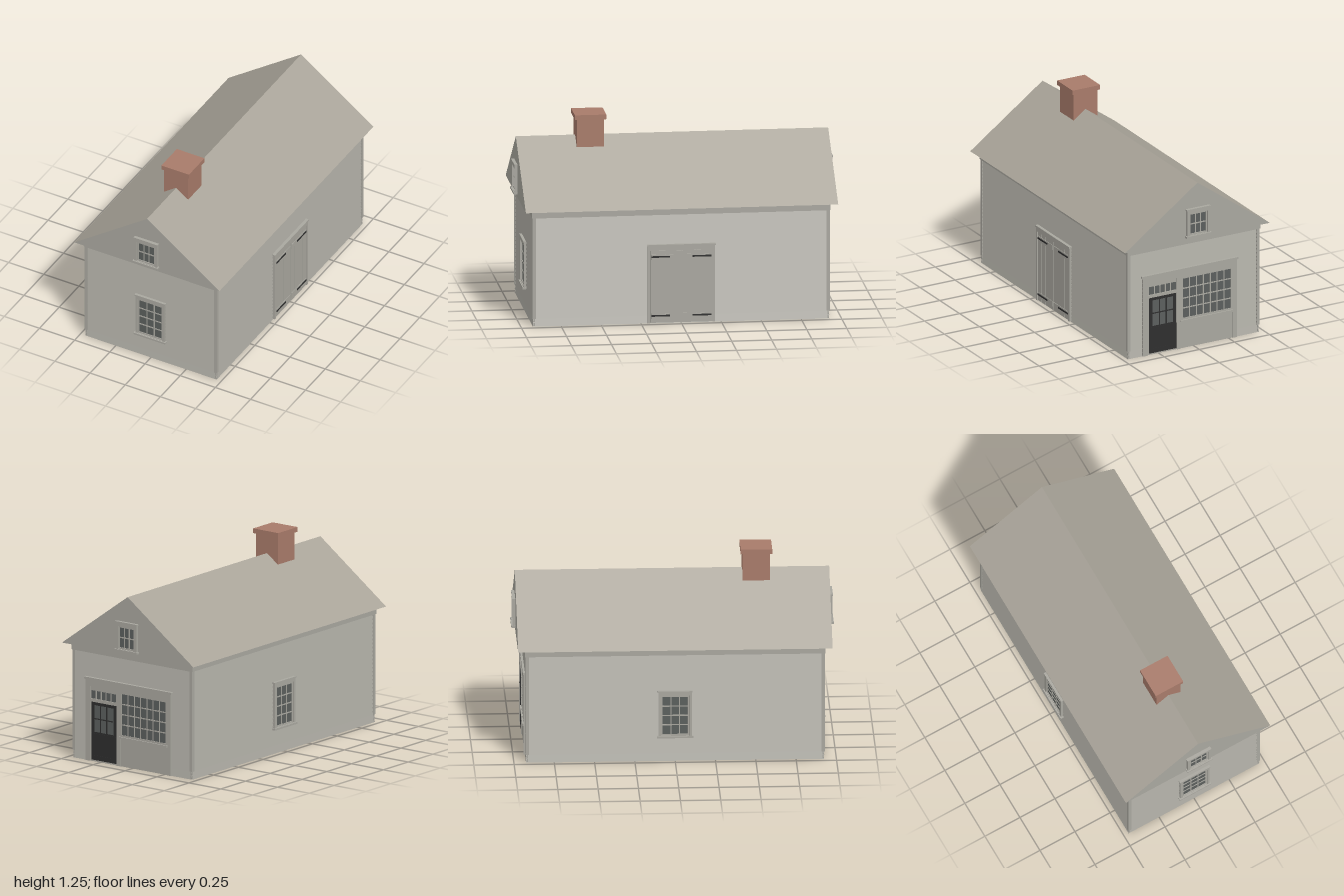
import * as THREE from 'three';

const mat = (name, color) => {
  const m = new THREE.MeshStandardMaterial({ color });
  m.name = name;
  return m;
};

export function createModel() {
  const wall = mat('grey paint', 0xa9a79f);
  const roofing = mat('warm grey roof', 0xa9a499);
  const brick = mat('brick', 0xa87b6a);
  const glass = mat('window glass', 0x5b5f5d);
  const black = mat('black paint', 0x2e2e2e);

  const model = new THREE.Group();
  model.name = 'shed';

  const group = (name, parent, angle = 0) => {
    const g = new THREE.Group();
    g.name = name;
    g.rotation.y = angle;
    parent.add(g);
    return g;
  };
  // Box given by its two extremes on each axis
  const box = (name, parent, material, x0, x1, y0, y1, z0, z1) => {
    const m = new THREE.Mesh(new THREE.BoxGeometry(x1 - x0, y1 - y0, z1 - z0), material);
    m.name = name;
    m.position.set((x0 + x1) / 2, (y0 + y1) / 2, (z0 + z1) / 2);
    parent.add(m);
    return m;
  };

  // Overlapping boards: a sawtooth profile extruded along the wall
  const siding = (name, parent, halfWidth, y0, y1, count, z, out) => {
    const s = new THREE.Shape();
    const h = (y1 - y0) / count;
    s.moveTo(-0.004, y0);
    for (let i = 0; i < count; i++) {
      s.lineTo(out, y0 + i * h);
      s.lineTo(0.001, y0 + (i + 1) * h);
    }
    s.lineTo(-0.004, y1);
    const g = new THREE.ExtrudeGeometry(s, { depth: halfWidth * 2, bevelEnabled: false });
    g.translate(0, 0, -halfWidth).rotateY(-Math.PI / 2);
    const m = new THREE.Mesh(g, wall);
    m.name = name;
    m.position.z = z;
    parent.add(m);
  };

  // Glass plate divided by thin bars
  const panes = (parent, x0, x1, y0, y1, cols, rows, z, barMaterial = wall, bar = 0.007) => {
    box('glass', parent, glass, x0, x1, y0, y1, z - 0.003, z);
    for (let i = 1; i < cols; i++) {
      const x = x0 + ((x1 - x0) * i) / cols;
      box('uprightBar', parent, barMaterial, x - bar / 2, x + bar / 2, y0, y1, z - 0.002, z + 0.003);
    }
    for (let j = 1; j < rows; j++) {
      const y = y0 + ((y1 - y0) * j) / rows;
      box('crossBar', parent, barMaterial, x0, x1, y - bar / 2, y + bar / 2, z - 0.002, z + 0.003);
    }
  };

  // Four-sided border around an opening
  const border = (name, parent, x0, x1, y0, y1, side, top, bottom, z0, z1, material = wall) => {
    box(name, parent, material, x0, x0 + side, y0, y1, z0, z1);
    box(name, parent, material, x1 - side, x1, y0, y1, z0, z1);
    box(name, parent, material, x0 + side, x1 - side, y1 - top, y1, z0, z1);
    box(name, parent, material, x0 + side, x1 - side, y0, y0 + bottom, z0, z1);
  };

  // Window with casing, sash, head cap and sill
  const windowUnit = (name, parent, hw, y0, y1, rows, z, depth) => {
    const g = group(name, parent);
    const c = 0.017, sash = 0.009;
    border('casing', g, -hw, hw, y0, y1, c, 0.026, 0.004, z - 0.006, z + depth);
    border('sash', g, -hw + c, hw - c, y0 + 0.004, y1 - 0.026, sash, sash, sash, z - 0.006, z + depth * 0.6);
    panes(g, -hw + c + sash, hw - c - sash, y0 + 0.013, y1 - 0.035, 3, rows, z + depth * 0.3);
    box('headCap', g, wall, -hw - 0.004, hw + 0.004, y1 - 0.005, y1 + 0.004, z - 0.006, z + depth + 0.003);
    box('sill', g, wall, -hw - 0.008, hw + 0.008, y0 - 0.01, y0 + 0.002, z - 0.006, z + depth + 0.008);
  };

  // Four hollow walls, open underneath; each face group has +z outwards
  const faces = {};
  const layout = [
    ['frontWall', 0, 0.47, 0.928], ['rightWall', Math.PI / 2, 0.928, 0.47],
    ['backWall', Math.PI, 0.47, 0.928], ['leftWall', -Math.PI / 2, 0.928, 0.47],
  ];
  for (const [name, angle, hw, d] of layout) {
    const g = (faces[name] = group(name, model, angle));
    box('wallCore', g, wall, -hw + 0.012, hw - 0.012, 0, 0.735, d - 0.02, d - 0.011);
    siding('clapboards', g, hw - 0.02, 0.05, 0.69, 25, d - 0.011, 0.008);
    siding('skirtBoards', g, hw - 0.004, 0, 0.05, 2, d - 0.011, 0.008);
    for (const s of [-1, 1]) {
      const a = s * hw, b = s * (hw - 0.021);
      box('cornerBoard', g, wall, Math.min(a, b), Math.max(a, b), 0.05, 0.69, d - 0.012, d);
    }
    box('frieze', g, wall, -hw - 0.003, hw + 0.003, 0.69, 0.736, d - 0.012, d + 0.003);
  }

  // Solid gabled roof
  const tri = new THREE.Shape();
  tri.moveTo(-0.515, 0.735);
  tri.lineTo(0.515, 0.735);
  tri.lineTo(0, 1.105);
  tri.closePath();
  const roofGeo = new THREE.ExtrudeGeometry(tri, { depth: 1.95, bevelEnabled: false });
  roofGeo.translate(0, 0, -0.975);
  const roof = new THREE.Mesh(roofGeo, [wall, roofing]);
  roof.name = 'roof';
  model.add(roof);

  // Chimney
  const chimney = group('chimney', model);
  box('chimneyStack', chimney, brick, -0.085, 0.085, 1.03, 1.225, 0.435, 0.605);
  box('chimneyCap', chimney, brick, -0.098, 0.098, 1.22, 1.25, 0.422, 0.618);

  // Windows
  windowUnit('frontWindow', faces.frontWall, 0.104, 0.164, 0.454, 4, 0.923, 0.015);
  windowUnit('leftWindow', faces.leftWall, 0.104, 0.164, 0.454, 4, 0.465, 0.015);
  windowUnit('frontGableWindow', faces.frontWall, 0.081, 0.765, 0.94, 2, 0.975, 0.017);
  windowUnit('backGableWindow', faces.backWall, 0.081, 0.765, 0.94, 2, 0.975, 0.017);

  // Plank double door on the right wall
  const barn = group('doubleDoor', faces.rightWall);
  box('doorBacking', barn, wall, -0.2, 0.2, 0.004, 0.48, 0.455, 0.47);
  for (const s of [-1, 1]) {
    box('doorJamb', barn, wall, Math.min(s * 0.21, s * 0.195), Math.max(s * 0.21, s * 0.195), 0.004, 0.49, 0.455, 0.479);
  }
  box('doorHead', barn, wall, -0.195, 0.195, 0.465, 0.49, 0.455, 0.479);
  box('doorCap', barn, wall, -0.214, 0.214, 0.49, 0.502, 0.455, 0.483);
  for (let i = 0; i < 8; i++) {
    const x = -0.192 + i * 0.048;
    box('plank', barn, wall, x + 0.0015, x + 0.0465, 0.008, 0.462, 0.465, 0.475);
  }
  for (const s of [-1, 1]) {
    for (const y of [0.425, 0.05]) {
      const span = (a, b) => [Math.min(s * a, s * b), Math.max(s * a, s * b)];
      box('batten', barn, wall, ...span(0.008, 0.188), y - 0.02, y + 0.014, 0.47, 0.478);
      box('strapHinge', barn, black, ...span(0.07, 0.188), y - 0.005, y + 0.005, 0.476, 0.481);
    }
  }

  // Shop front on the back wall
  const shop = group('shopFront', faces.backWall);
  box('shopPanel', shop, wall, -0.36, 0.3, 0, 0.5, 0.915, 0.926);
  box('pilaster', shop, wall, -0.364, -0.328, 0, 0.482, 0.915, 0.933);
  box('pilaster', shop, wall, 0.275, 0.304, 0, 0.482, 0.915, 0.933);
  box('fascia', shop, wall, -0.364, 0.304, 0.478, 0.522, 0.915, 0.933);
  box('shopCornice', shop, wall, -0.372, 0.312, 0.52, 0.534, 0.915, 0.938);
  box('doorPost', shop, wall, -0.12, -0.092, 0, 0.478, 0.915, 0.931);
  box('transomRail', shop, wall, -0.328, -0.12, 0.38, 0.4, 0.915, 0.931);
  panes(shop, -0.318, -0.128, 0.402, 0.452, 5, 1, 0.9285);

  const door = group('shopDoor', shop);
  box('doorLeaf', door, black, -0.318, -0.125, 0.01, 0.38, 0.92, 0.9285);
  panes(door, -0.295, -0.148, 0.19, 0.36, 3, 2, 0.9295, black);
  border('lowerPanel', door, -0.318, -0.125, 0.01, 0.18, 0.023, 0.012, 0.03, 0.925, 0.9305, black);

  const display = group('displayWindow', shop);
  border('displayFrame', display, -0.092, 0.275, 0.19, 0.478, 0.012, 0.014, 0.012, 0.92, 0.932);
  panes(display, -0.08, 0.263, 0.202, 0.464, 7, 4, 0.9285);
  box('displaySill', display, wall, -0.096, 0.279, 0.178, 0.19, 0.92, 0.94);

  return model;
}
